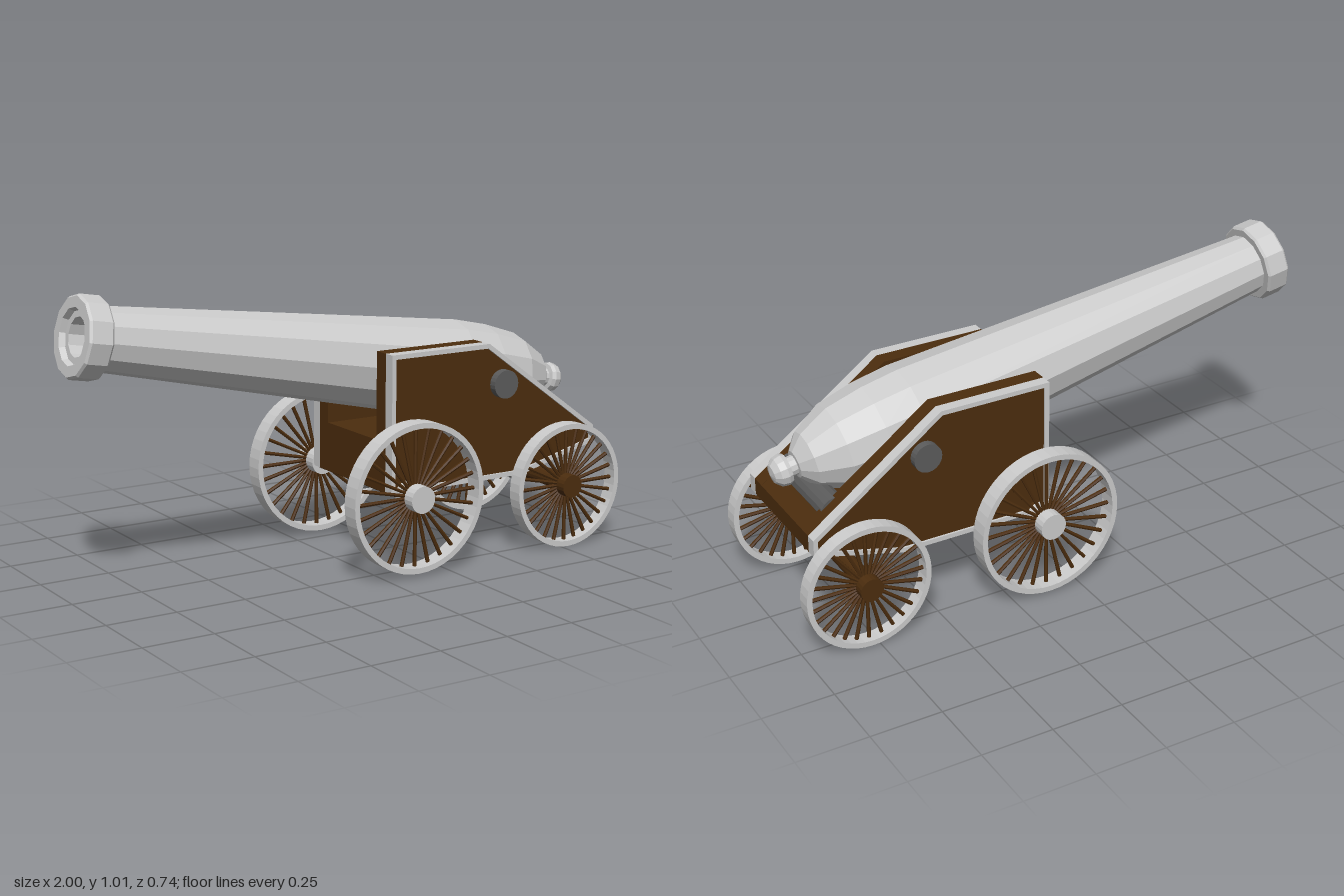
import * as THREE from 'three';

const V = (x, y) => new THREE.Vector2(x, y);
const mat = (color) => new THREE.MeshStandardMaterial({ color, flatShading: true });

export function createModel() {
  const model = new THREE.Group();
  const grey = mat(0xcccccc), brown = mat(0x4c2d0e), iron = mat(0x5c5c5c);

  const add = (parent, name, geometry, material, x = 0, y = 0, z = 0) => {
    const mesh = new THREE.Mesh(geometry, material);
    mesh.name = name;
    mesh.position.set(x, y, z);
    parent.add(mesh);
    return mesh;
  };
  // Cylinder lying along z
  const rod = (r, length, sides = 20) => new THREE.CylinderGeometry(r, r, length, sides).rotateX(Math.PI / 2);
  // Side-view outline extruded from z0 to z1
  const slab = (outline, z0, z1, hole) => {
    const shape = new THREE.Shape(outline.map(([x, y]) => V(x, y)));
    if (hole) shape.holes.push(new THREE.Path(hole.map(([x, y]) => V(x, y))));
    return new THREE.ExtrudeGeometry(shape, { depth: z1 - z0, bevelEnabled: false }).translate(0, 0, z0);
  };

  // Barrel: twelve-sided profile (radius, distance from muzzle), bore first
  const barrel = new THREE.Group();
  barrel.name = 'barrel';
  barrel.position.set(-0.975, 0.877, 0);
  barrel.rotation.z = THREE.MathUtils.degToRad(-100);
  model.add(barrel);
  const tube = [
    [0, 0.35], [0.066, 0.35], [0.066, 0.02], [0.088, 0.02], [0.095, 0], [0.131, 0],
    [0.138, 0.008], [0.138, 0.078], [0.131, 0.086], [0.106, 0.086], [0.176, 1.466],
    [0.17, 1.6], [0.15, 1.735], [0.098, 1.838], [0.048, 1.88], [0, 1.885],
  ].map(([r, s]) => V(r, s));
  add(barrel, 'gunTube', new THREE.LatheGeometry(tube, 12), grey);
  const knob = [
    [0.034, 1.86], [0.034, 1.905], [0.05, 1.908], [0.055, 1.922], [0.05, 1.945], [0.032, 1.963], [0, 1.97],
  ].map(([r, s]) => V(r, s));
  add(barrel, 'breechKnob', new THREE.LatheGeometry(knob, 12), grey);

  // Carriage: cheeks with recessed outer panels and pale frames
  const carriage = new THREE.Group();
  carriage.name = 'carriage';
  model.add(carriage);
  const outline = [[0.07, 0.27], [0.62, 0.27], [0.935, 0.35], [0.935, 0.41], [0.47, 0.75], [0.07, 0.75]];
  const inset = [[0.086, 0.286], [0.618, 0.286], [0.919, 0.363], [0.919, 0.402], [0.465, 0.734], [0.086, 0.734]];
  for (const [side, z0, z1, p0, p1] of [['left', 0.21, 0.25, 0.155, 0.21], ['right', -0.25, -0.21, -0.21, -0.155]]) {
    add(carriage, side + 'Cheek', slab(outline, p0, p1), brown);
    add(carriage, side + 'CheekFrame', slab(outline, z0, z1, inset), grey);
    const s = Math.sign(z0);
    add(carriage, side + 'CheekPanel', slab(inset, Math.min(s * 0.2, s * 0.242), Math.max(s * 0.2, s * 0.242)), brown);
  }
  const bed = [[0.07, 0.27], [0.62, 0.27], [0.935, 0.35], [0.935, 0.41], [0.888, 0.444], [0.07, 0.444]];
  add(carriage, 'bed', slab(bed, -0.156, 0.156), brown);
  add(carriage, 'breechRest', rod(0.05, 0.344, 16), iron, 0.82, 0.446, 0);
  add(carriage, 'trunnion', rod(0.05, 0.54, 24), iron, 0.53, 0.605, 0);

  // Wheels: rim, spokes and hub, built around their own centre
  const buildWheel = (name, R, width, spokes, hubR, hubDepth, hubMaterial) => {
    const wheel = new THREE.Group();
    wheel.name = name;
    const inner = R - 0.019, h = width / 2;
    const ring = [V(inner, -h), V(R, -h), V(R, h), V(inner, h), V(inner, -h)];
    add(wheel, 'rim', new THREE.LatheGeometry(ring, 48).rotateX(Math.PI / 2), grey);
    for (let i = 0; i < spokes; i++) {
      const length = inner - 0.015;
      const spoke = new THREE.CylinderGeometry(0.007, 0.006, length, 6).translate(0, 0.02 + length / 2, 0);
      add(wheel, 'spoke', spoke.rotateZ((i / spokes) * Math.PI * 2), brown);
    }
    add(wheel, 'hub', rod(hubR, hubDepth), hubMaterial);
    return wheel;
  };

  // Two axles, each with a pair of wheels and a centre bracket
  const axles = [
    { name: 'front', x: 0.12, y: 0.273, R: 0.26, z: 0.3175, width: 0.065, hubR: 0.047, hubDepth: 0.1, hub: grey, spokes: 28 },
    { name: 'rear', x: 0.777, y: 0.223, R: 0.222, z: 0.294, width: 0.053, hubR: 0.041, hubDepth: 0.086, hub: brown, spokes: 28 },
  ];
  for (const a of axles) {
    add(model, a.name + 'Axle', rod(0.031, a.z * 2), brown, a.x, a.y + 0.006, 0);
    for (const s of [1, -1]) {
      const wheel = buildWheel(a.name + (s > 0 ? 'Left' : 'Right') + 'Wheel', a.R, a.width, a.spokes, a.hubR, a.hubDepth, a.hub);
      wheel.position.set(a.x, a.y, s * a.z);
      model.add(wheel);
    }
    const top = a.name === 'rear' ? 0.35 : 0.3;
    add(model, a.name + 'AxleClamp', new THREE.BoxGeometry(0.085, 0.076, 0.08), iron, a.x, a.y + 0.009, 0);
    add(model, a.name + 'AxlePost', new THREE.BoxGeometry(0.07, top - a.y, 0.068), iron, a.x, (top + a.y) / 2, 0);
    add(model, a.name + 'ClampBolt', rod(0.007, 0.1, 8), iron, a.x, a.y + 0.035, 0);
  }
  return model;
}
